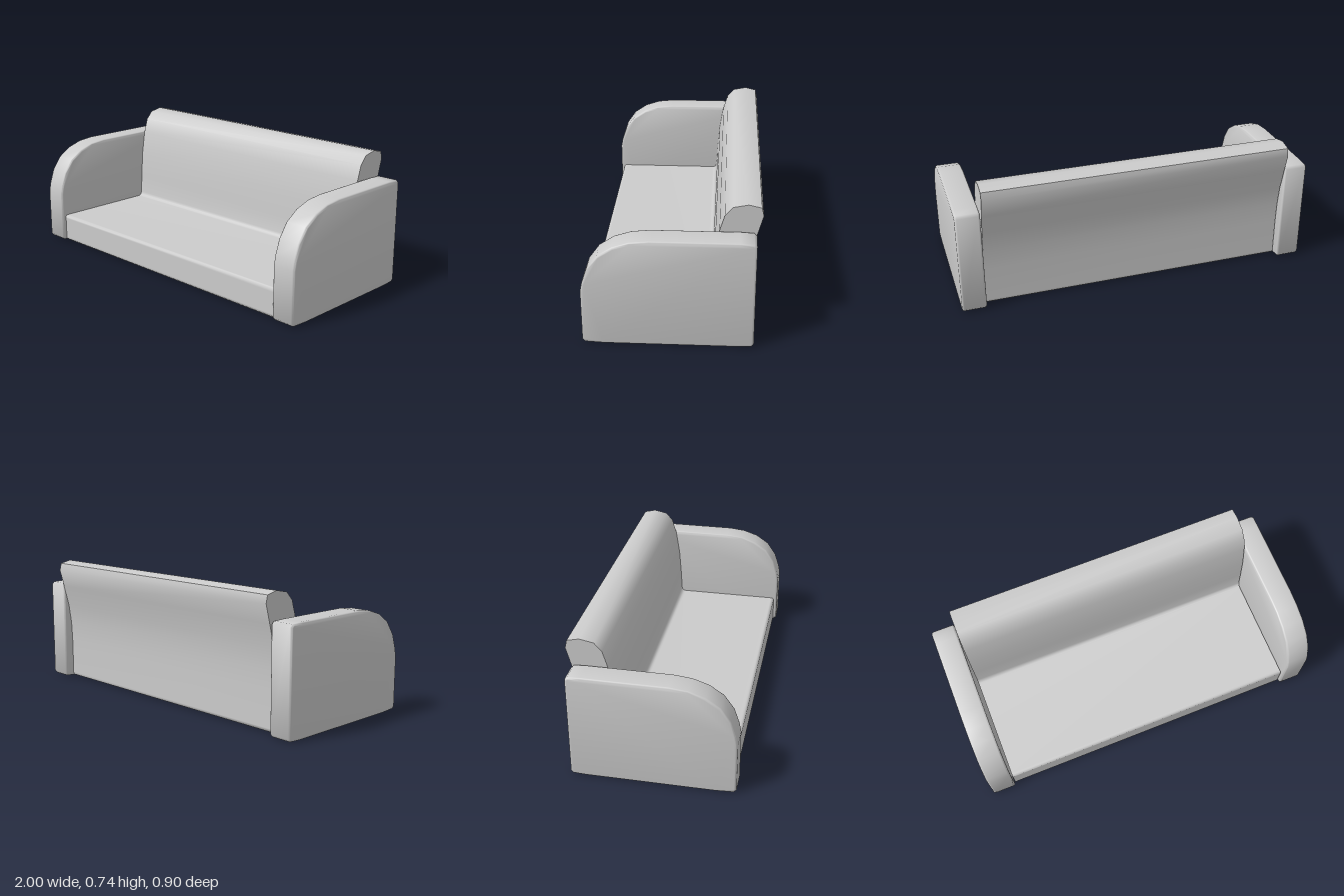
import * as THREE from 'three';
import { toCreasedNormals } from 'three/addons/utils/BufferGeometryUtils.js';

const material = new THREE.MeshStandardMaterial({ color: 0xcccccc });

// Sweep a side profile of [z, y] points across x, with optionally rounded rims
function sweep(name, profile, width, bevel, centreX) {
  const shape = new THREE.Shape(profile.map(([z, y]) => new THREE.Vector2(z, y)));
  const geometry = new THREE.ExtrudeGeometry(shape, {
    depth: width - 2 * bevel,
    bevelEnabled: bevel > 0,
    bevelSize: bevel,
    bevelThickness: bevel,
    bevelOffset: -bevel,
    bevelSegments: 3,
  });
  geometry.translate(0, 0, bevel - width / 2);
  geometry.rotateY(-Math.PI / 2);
  const mesh = new THREE.Mesh(toCreasedNormals(geometry, 0.95), material);
  mesh.name = name;
  mesh.position.x = centreX;
  return mesh;
}

export function createModel() {
  const sofa = new THREE.Group();
  sofa.name = 'sofa';

  // Seat and backrest share one profile; the back is upright below and flares out at the top
  const seatProfile = [
    // underside and front
    [-0.36, 0.005], [-0.35, 0.005], [0.41, 0.005], [0.42, 0.005], [0.43, 0.015], [0.43, 0.025],
    [0.43, 0.145], [0.43, 0.155], [0.42, 0.165], [0.41, 0.165],
    // seat top and face of the backrest
    [-0.17, 0.165], [-0.18, 0.166], [-0.191, 0.173], [-0.196, 0.19], [-0.202, 0.3], [-0.213, 0.45],
    [-0.235, 0.593], [-0.26, 0.675], [-0.3, 0.72], [-0.375, 0.735],
    // rear
    [-0.44, 0.72], [-0.45, 0.677], [-0.422, 0.575], [-0.39, 0.45], [-0.375, 0.34],
    [-0.37, 0.22], [-0.37, 0.025], [-0.37, 0.015],
  ];
  sofa.add(sweep('seatAndBackrest', seatProfile, 1.72, 0, 0));

  // Armrests with a curved front and softly rounded rims
  const armProfile = [
    [-0.408, 0.004], [-0.34, 0], [0.34, 0], [0.436, 0.005], [0.45, 0.02],
    [0.45, 0.3], [0.44, 0.35], [0.413, 0.43], [0.36, 0.505], [0.285, 0.555],
    [0.2, 0.583], [0.105, 0.593], [-0.34, 0.593], [-0.406, 0.59], [-0.42, 0.575], [-0.42, 0.018],
  ];
  for (const [name, side] of [['leftArm', 1], ['rightArm', -1]]) {
    sofa.add(sweep(name, armProfile, 0.135, 0.012, side * 0.9325));
  }
  return sofa;
}
